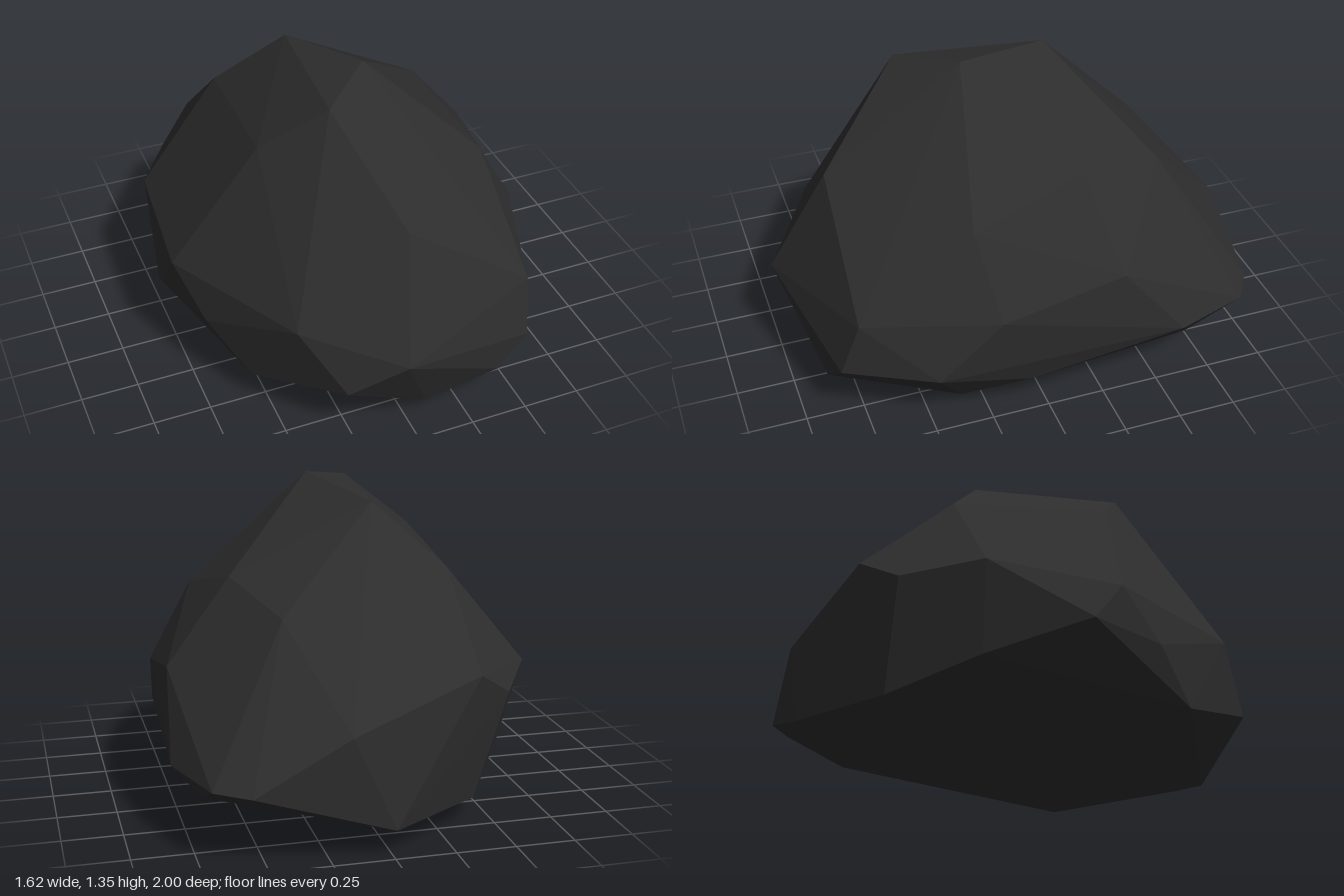
import * as THREE from 'three';
import { ConvexGeometry } from 'three/addons/geometries/ConvexGeometry.js';

// Corner points of the boulder, grouped by height band
const crown = [
  [0.08, 1.35, 0.165], [-0.155, 1.3, 0.385], [-0.1, 1.28, -0.265], [-0.41, 1.09, 0.235],
  [0.5, 0.985, -0.225], [-0.375, 1.025, -0.44], [0.035, 0.895, 0.755], [0.36, 0.89, -0.62],
  [0.59, 0.86, 0.28],
];
const waist = [
  [0.78, 0.64, -0.31], [0.785, 0.53, 0.22], [0.59, 0.51, 0.77], [-0.055, 0.415, 1],
  [-0.44, 0.52, 0.75], [-0.78, 0.54, 0.15], [-0.74, 0.59, -0.4], [-0.565, 0.55, -0.705],
  [-0.4, 0.665, -0.83], [0.17, 0.51, -1],
];
const skirt = [
  [0.75, 0.265, 0.48], [0.565, 0.27, 0.85], [-0.28, 0.26, 0.9], [-0.7, 0.345, 0.34],
  [-0.81, 0.37, 0.02], [-0.64, 0.23, -0.38], [0.56, 0.3, -1], [0.7, 0.305, -0.905],
  [0.81, 0.31, -0.58],
];
const base = [
  [0.735, 0.155, 0.07], [0.42, 0.145, 0.88], [0.09, 0.065, 0.86], [-0.11, 0, 0.52],
  [-0.565, 0.145, 0.52], [-0.418, 0.105, -0.71], [-0.01, 0.112, -0.985], [0.075, 0.03, -0.67],
  [0.7, 0.19, -0.65], [0.625, 0.052, 0.35],
];
// Shallow hollow in the underside
const hollow = new THREE.Vector3(0.215, 0.055, -0.28);

// Split the downward face around the hollow into three facets meeting at it
function dentUnderside(hull, point) {
  const src = hull.getAttribute('position');
  const corners = [];
  const tri = new THREE.Triangle();
  const normal = new THREE.Vector3();
  const side = (p, q) => (q.x - p.x) * (point.z - p.z) - (q.z - p.z) * (point.x - p.x);
  for (let i = 0; i < src.count; i += 3) {
    tri.setFromAttributeAndIndices(src, i, i + 1, i + 2);
    tri.getNormal(normal);
    const c = [tri.a.clone(), tri.b.clone(), tri.c.clone()];
    const signs = c.map((p, k) => Math.sign(side(p, c[(k + 1) % 3])));
    const inside = signs[0] === signs[1] && signs[1] === signs[2];
    if (normal.y < 0 && inside) {
      c.forEach((p, k) => corners.push(p, c[(k + 1) % 3], point));
    } else {
      corners.push(...c);
    }
  }
  const geometry = new THREE.BufferGeometry().setFromPoints(corners);
  geometry.computeVertexNormals();
  return geometry;
}

export function createModel() {
  const stone = new THREE.MeshStandardMaterial({ color: 0x2d2d2d });
  stone.name = 'darkStone';
  stone.flatShading = true;

  const points = [...crown, ...waist, ...skirt, ...base].map((p) => new THREE.Vector3(...p));
  const boulder = new THREE.Mesh(dentUnderside(new ConvexGeometry(points), hollow), stone);
  boulder.name = 'boulder';

  const group = new THREE.Group();
  group.name = 'rock';
  group.add(boulder);
  return group;
}
